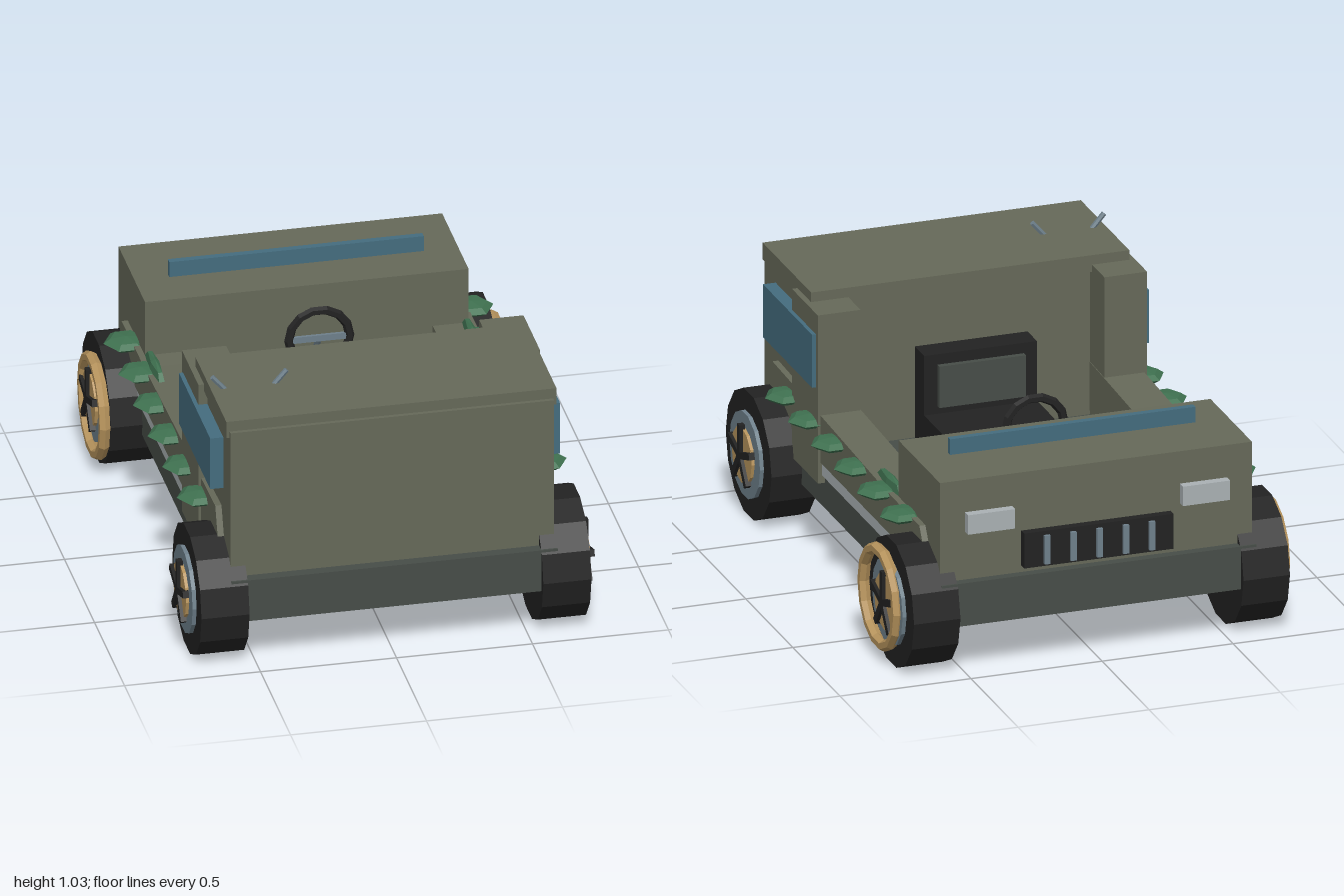
import * as THREE from 'three';

const mat = (name, color, extra = {}) => {
  const m = new THREE.MeshStandardMaterial({ color, flatShading: true, ...extra });
  m.name = name;
  return m;
};

export function createModel() {
  const olive = mat('olive body', 0x666959);
  const dark = mat('dark chassis', 0x474d48);
  const black = mat('black rubber', 0x222222);
  const glass = mat('blue glass', 0x446c7e);
  const steel = mat('blue steel', 0x6e808b);
  const tan = mat('tan rim', 0xb6935c);
  const silver = mat('silver', 0xaab1b4);
  const green = mat('leaf green', 0x3f7150);

  const model = new THREE.Group();
  model.name = 'openTruck';

  const add = (name, geo, material, parent = model) => {
    const mesh = new THREE.Mesh(geo, material);
    mesh.name = name;
    parent.add(mesh);
    return mesh;
  };
  // Box given by its limits on each axis
  const box = (name, material, x0, x1, y0, y1, z0, z1, parent) => {
    const m = add(name, new THREE.BoxGeometry(Math.abs(x1 - x0), y1 - y0, z1 - z0), material, parent);
    m.position.set((x0 + x1) / 2, (y0 + y1) / 2, (z0 + z1) / 2);
    return m;
  };
  // Rod between two points
  const rod = (name, material, a, b, r) => {
    const p = new THREE.Vector3(...a), q = new THREE.Vector3(...b);
    const m = add(name, new THREE.CylinderGeometry(r, r, p.distanceTo(q), 6), material);
    m.position.copy(p).add(q).multiplyScalar(0.5);
    m.quaternion.setFromUnitVectors(new THREE.Vector3(0, 1, 0), q.sub(p).normalize());
    return m;
  };

  // Main volumes
  box('chassis', dark, -0.6, 0.6, 0.2, 0.365, -0.97, 0.97);
  box('hood', olive, -0.595, 0.595, 0.36, 0.75, -0.935, -0.495);
  box('rearCab', olive, -0.595, 0.595, 0.36, 0.947, 0.42, 0.93);
  box('roof', olive, -0.607, 0.607, 0.922, 0.987, 0.4, 0.915);
  box('windshield', glass, -0.468, 0.468, 0.74, 0.81, -0.69, -0.665);

  // Side wall profile in (z, y)
  const profile = [[0.85, 0.4], [0.78, 0.58], [0.27, 0.562], [-0.4, 0.535], [-0.78, 0.53], [-0.86, 0.4], [-0.86, 0.38], [0.85, 0.38]];
  const wallShape = new THREE.Shape(profile.map(([z, y]) => new THREE.Vector2(-z, y)));

  for (const s of [1, -1]) {
    const side = s > 0 ? 'left' : 'right';
    const wall = add(side + 'SideWall', new THREE.ExtrudeGeometry(wallShape, { depth: 0.155, bevelEnabled: false }), olive);
    wall.rotation.y = Math.PI / 2;
    wall.position.x = s > 0 ? 0.463 : -0.618;
    box(side + 'Pillar', olive, s * 0.465, s * 0.628, 0.3, 0.95, 0.27, 0.545);
    box(side + 'Window', glass, s * 0.595, s * 0.643, 0.665, 0.87, 0.29, 0.81);
    box(side + 'SideRail', silver, s * 0.57, s * 0.612, 0.33, 0.38, -0.56, 0.27);
    box(side + 'Headlight', silver, s * 0.32, s * 0.5, 0.55, 0.625, -0.968, -0.93);

    // Leaf clumps along the side
    for (let i = 0; i < 6; i++) {
      const leaf = add(side + 'Leaf', new THREE.SphereGeometry(1, 6, 4), green);
      leaf.scale.set(0.083, 0.023, 0.085);
      leaf.position.set(s * 0.634, 0.523, 0.585 - i * 0.244);
    }
    const longLeaf = add(side + 'LongLeaf', new THREE.SphereGeometry(1, 6, 4), green);
    longLeaf.scale.set(0.022, 0.045, 0.14);
    longLeaf.position.set(s * 0.583, 0.533, -0.38);

    // Wheels
    for (const z of [0.757, -0.757]) {
      const wheel = new THREE.Group();
      wheel.name = side + (z < 0 ? 'FrontWheel' : 'RearWheel');
      wheel.position.set(0, 0.243, z);
      model.add(wheel);
      const disc = (name, material, r, x0, x1, sides) => {
        const g = new THREE.CylinderGeometry(r, r, x1 - x0, sides).rotateZ(Math.PI / 2);
        add(name, g, material, wheel).position.x = s * (x0 + x1) / 2;
      };
      disc('tire', black, 0.243, 0.54, 0.717, 14);
      disc('rim', steel, 0.163, 0.7, 0.732, 14);
      disc('hub', tan, 0.107, 0.72, 0.744, 12);
      for (let i = 0; i < 5; i++) {
        const g = new THREE.BoxGeometry(0.022, 0.12, 0.026).translate(0, 0.06, 0);
        const spoke = add('spoke', g, black, wheel);
        spoke.position.x = s * 0.746;
        spoke.rotation.x = i * Math.PI * 2 / 5;
      }
      if (z < 0) {
        const ring = add('rimRing', new THREE.TorusGeometry(0.18, 0.022, 6, 14).rotateY(Math.PI / 2), tan, wheel);
        ring.position.set(s * 0.738, 0, 0.057);
      }
    }
  }

  // Grille
  box('grille', black, -0.285, 0.285, 0.39, 0.525, -0.967, -0.93);
  for (let i = -2; i <= 2; i++) box('grilleBar', steel, i * 0.1 - 0.011, i * 0.1 + 0.011, 0.4, 0.51, -0.98, -0.96);

  // Seat
  box('seatCushion', black, -0.215, 0.215, 0.365, 0.5, -0.09, 0.39);
  box('seatBack', black, -0.215, 0.215, 0.48, 0.73, 0.29, 0.39);
  box('seatPad', dark, -0.165, 0.165, 0.53, 0.69, 0.268, 0.3);

  // Steering
  const steering = add('steeringWheel', new THREE.TorusGeometry(0.112, 0.017, 6, 14), black);
  steering.position.set(0, 0.645, -0.287);
  rod('steeringColumn', steel, [0, 0.645, -0.295], [0, 0.37, -0.475], 0.012);
  box('steeringSpoke', steel, -0.11, 0.11, 0.633, 0.657, -0.293, -0.281);

  // Roof antennas
  rod('antenna', steel, [-0.55, 0.975, 0.655], [-0.602, 1.035, 0.655], 0.01);
  rod('antenna', steel, [-0.38, 0.975, 0.655], [-0.328, 1.035, 0.655], 0.01);

  return model;
}
